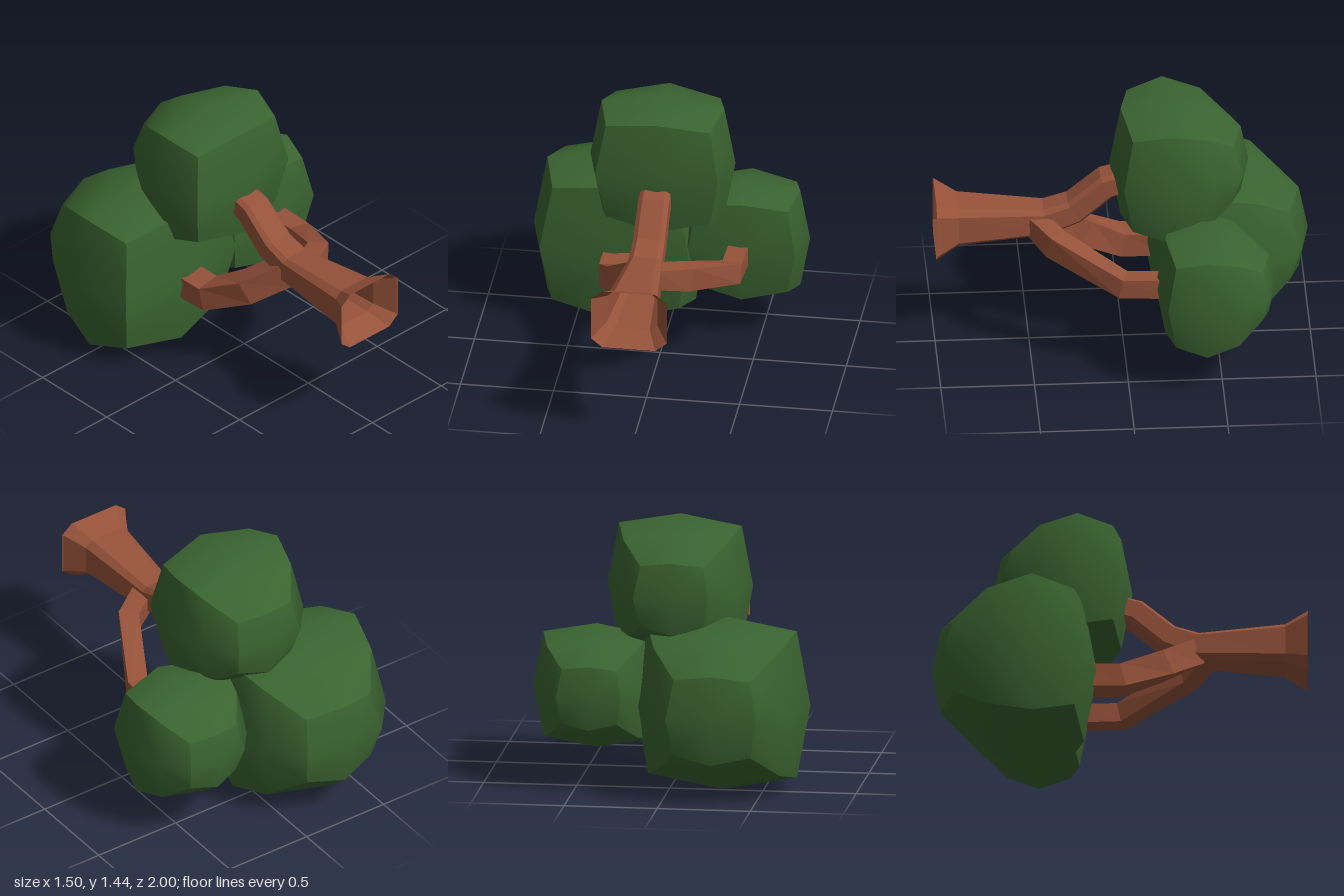
import * as THREE from 'three';
import { mergeGeometries } from 'three/addons/utils/BufferGeometryUtils.js';

const leafGreen = new THREE.MeshStandardMaterial({ color: 0x3a6330 });
leafGreen.name = 'leafGreen';
const barkBrown = new THREE.MeshStandardMaterial({ color: 0x96523a, side: THREE.DoubleSide });
barkBrown.name = 'barkBrown';

// Surface through a grid of points (rows of Vector3)
function gridGeometry(rows) {
  const n = rows[0].length, index = [];
  for (let r = 0; r < rows.length - 1; r++) {
    for (let c = 0; c < n - 1; c++) {
      const a = r * n + c, d = a + n;
      index.push(a, a + 1, d + 1, a, d + 1, d);
    }
  }
  const g = new THREE.BufferGeometry().setFromPoints(rows.flat());
  g.setIndex(index);
  return g;
}

// Leaf clump: a puffed cube, each of its six faces smooth, with sharp edges between them.
// Rings run front to back: [side radius, side z, corner offset, corner z]
const RINGS = [
  [0.33, 0.24, 0.28, 0.19],
  [0.39, 0.0, 0.33, 0.0],
  [0.33, -0.24, 0.28, -0.2],
  [0.2, -0.4, 0.17, -0.35],
];
const FRONT_Z = 0.3, BACK_Z = -0.44;

function clumpGeometry() {
  const point = (ring, x, y, poleZ) => {
    if (!x && !y) return new THREE.Vector3(0, 0, poleZ);
    const [m, mz, c, cz] = RINGS[ring];
    return x && y ? new THREE.Vector3(x * c, y * c, cz) : new THREE.Vector3(x * m, y * m, mz);
  };
  const steps = [-1, 0, 1];
  const faces = [
    gridGeometry(steps.map((y) => steps.map((x) => point(0, x, y, FRONT_Z)))),
    gridGeometry(steps.map((y) => steps.map((x) => point(3, -x, y, BACK_Z)))),
  ];
  for (let s = 0; s < 4; s++) {
    faces.push(gridGeometry([3, 2, 1, 0].map((ring) => steps.map((k) => {
      const a = (2 * s + k) * Math.PI / 4;
      return point(ring, Math.round(Math.cos(a)), Math.round(Math.sin(a)), 0);
    }))));
  }
  faces.forEach((f) => f.computeVertexNormals());
  return mergeGeometries(faces);
}

// Limb: a section swept along stations [x, y, z, half width, half height]
function limb(name, stations, chamfer) {
  const k = 1 - chamfer;
  const section = chamfer
    ? [[1, -k], [1, k], [k, 1], [-k, 1], [-1, k], [-1, -k], [-k, -1], [k, -1]]
    : [[1, -1], [1, 1], [-1, 1], [-1, -1]];
  section.push(section[0]);
  const pts = stations.map(([x, y, z]) => new THREE.Vector3(x, y, z));
  const up = new THREE.Vector3(0, 1, 0);
  const rows = stations.map(([, , , w, h], i) => {
    const t = new THREE.Vector3();
    if (i > 0) t.add(pts[i].clone().sub(pts[i - 1]).normalize());
    if (i < pts.length - 1) t.add(pts[i + 1].clone().sub(pts[i]).normalize());
    t.normalize();
    const u = up.clone().cross(t).normalize();
    const v = t.clone().cross(u);
    return section.map(([a, b]) =>
      pts[i].clone().addScaledVector(u, a * w).addScaledVector(v, b * h));
  });
  const g = gridGeometry(rows).toNonIndexed();
  g.computeVertexNormals();
  const mesh = new THREE.Mesh(g, barkBrown);
  mesh.name = name;
  return mesh;
}

export function createModel() {
  const tree = new THREE.Group();
  tree.name = 'tree';

  // Trunk with a flared open foot, bending into the upper branch
  tree.add(limb('trunk', [
    [-0.02, 0.74, 1.0, 0.205, 0.17],
    [-0.02, 0.74, 0.995, 0.2, 0.168],
    [-0.02, 0.74, 0.88, 0.135, 0.112],
    [-0.02, 0.735, 0.41, 0.09, 0.077],
    [-0.02, 0.79, 0.26, 0.085, 0.07],
    [-0.02, 0.935, 0.09, 0.083, 0.068],
    [-0.02, 0.975, -0.06, 0.08, 0.065],
    [-0.02, 0.99, -0.2, 0.08, 0.065],
  ], 0.3));

  // Side branches
  tree.add(limb('leftBranch', [
    [0.02, 0.725, 0.47, 0.055, 0.055],
    [0.19, 0.685, 0.37, 0.055, 0.065],
    [0.385, 0.535, 0.02, 0.055, 0.055],
    [0.395, 0.53, -0.25, 0.055, 0.055],
  ], 0));
  tree.add(limb('rightBranch', [
    [-0.04, 0.7, 0.38, 0.07, 0.07],
    [-0.17, 0.57, 0.22, 0.075, 0.07],
    [-0.25, 0.45, 0.0, 0.078, 0.065],
    [-0.25, 0.445, -0.25, 0.078, 0.065],
  ], 0));

  // Leaf clumps: name, centre, scale
  const clump = clumpGeometry();
  for (const [name, x, y, z, sx, sy, sz] of [
    ['upperLeaves', -0.02, 1.06, -0.23, 1, 0.98, 1],
    ['rightLeaves', -0.28, 0.475, -0.48, 1.21, 1.21, 1.19],
    ['leftLeaves', 0.405, 0.533, -0.41, 0.87, 0.865, 0.865],
  ]) {
    const leaves = new THREE.Mesh(clump, leafGreen);
    leaves.name = name;
    leaves.position.set(x, y, z);
    leaves.scale.set(sx, sy, sz);
    tree.add(leaves);
  }
  return tree;
}
